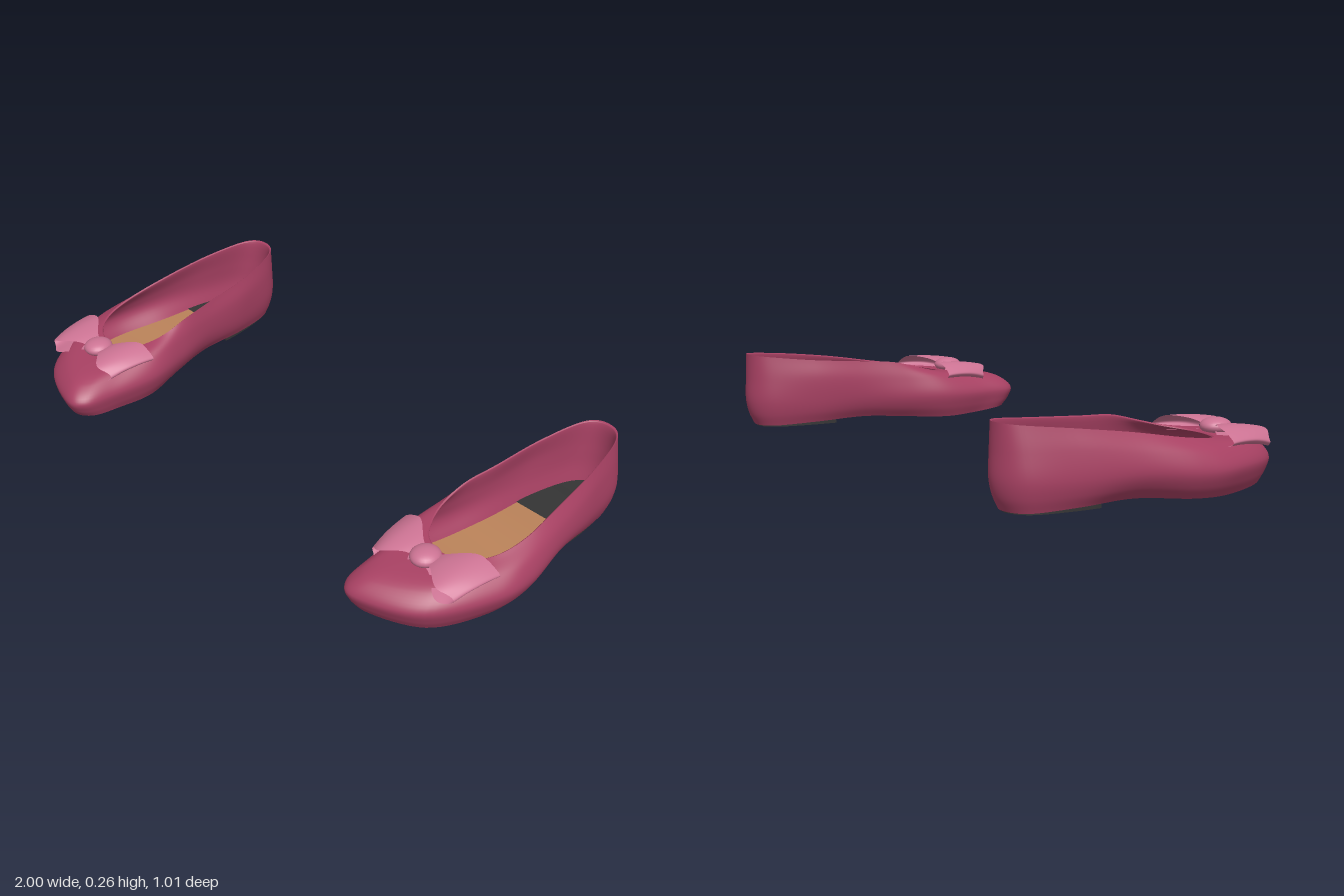
import * as THREE from 'three';

const mat = (name, color, side = THREE.FrontSide) => {
  const m = new THREE.MeshStandardMaterial({ color, side });
  m.name = name;
  return m;
};
const V = (x, y, z) => new THREE.Vector3(x, y, z);
const { smoothstep } = THREE.MathUtils;
const N = 120; // samples around the shoe

// Rings run heel -> outer side -> toe -> inner side
const soleRing = [
  [.80, .012, -.475], [.875, .012, -.43], [.905, .018, -.28], [.91, .022, -.1], [.955, .008, .08],
  [.945, .004, .22], [.87, .01, .39], [.71, .02, .475], [.638, .018, .445], [.625, .008, .33],
  [.62, .004, .2], [.66, .012, .05], [.69, .022, -.1], [.70, .018, -.28], [.735, .012, -.43]];
const widestRing = [
  [.80, .10, -.505], [.89, .10, -.45], [.935, .10, -.28], [.965, .10, -.1], [1.0, .09, .08],
  [.985, .09, .22], [.885, .085, .415], [.70, .085, .504], [.627, .085, .478], [.608, .085, .37],
  [.59, .09, .2], [.62, .09, .05], [.655, .10, -.1], [.675, .10, -.28], [.72, .10, -.45]];
const shoulderRing = [
  [.80, .18, -.503], [.88, .18, -.455], [.925, .18, -.29], [.955, .16, -.11], [.98, .145, .07],
  [.96, .14, .19], [.878, .137, .355], [.72, .131, .452], [.657, .131, .425], [.635, .138, .31],
  [.615, .15, .17], [.63, .155, .04], [.655, .165, -.1], [.675, .18, -.29], [.725, .18, -.455]];
const openingRing = [
  [.80, .262, -.50], [.865, .258, -.46], [.905, .24, -.3], [.925, .215, -.12], [.935, .187, .04],
  [.915, .17, .15], [.86, .16, .22], [.775, .158, .245], [.71, .162, .22], [.675, .172, .17],
  [.655, .19, .10], [.655, .215, 0], [.67, .225, -.12], [.69, .24, -.3], [.735, .258, -.46]];

function sampleRing(ring) {
  const curve = new THREE.CatmullRomCurve3(ring.map(p => V(...p)), true, 'catmullrom', 0.5);
  return Array.from({ length: N }, (_, i) => curve.getPoint(i / N));
}

// Surface through rows of points; closed joins each row's end to its start
function grid(rows, closed) {
  const n = rows[0].length, index = [];
  for (let j = 0; j < rows.length - 1; j++) {
    for (let i = 0; i < (closed ? n : n - 1); i++) {
      const k = (i + 1) % n;
      const a = j * n + i, b = a + n, c = j * n + k, d = c + n;
      index.push(a, b, c, c, b, d);
    }
  }
  const g = new THREE.BufferGeometry().setFromPoints(rows.flat());
  g.setIndex(index);
  g.computeVertexNormals();
  return g;
}

// Smooth wall passing through several rings
function wall(rings, steps) {
  const columns = rings[0].map((_, i) =>
    new THREE.CatmullRomCurve3(rings.map(r => r[i])).getPoints(steps));
  const rows = [];
  for (let j = 0; j <= steps; j++) rows.push(columns.map(c => c[j]));
  return grid(rows, true);
}

// Floor strip joining the outer and inner sides of a ring, up to zMax
function floor(ring, lift, zMax = Infinity) {
  const rows = [];
  for (let i = 0; i <= N / 2; i++) {
    const a = ring[i].clone(), b = ring[(N - i) % N].clone();
    if (Math.max(a.z, b.z) > zMax) break;
    a.y += lift;
    b.y += lift;
    rows.push([a, b]);
  }
  return grid(rows, false);
}

// One ribbon loop of the bow, flaring from the knot and sloping down to the toe
function bowLoop(dir, reach) {
  const path = new THREE.CatmullRomCurve3([
    [.1, .172], [.35, .188], [.65, .19], [.9, .173], [1, .157], [.9, .143], [.55, .147], [.1, .16],
  ].map(([u, y]) => V(u, y, 0)));
  const rows = path.getPoints(40).map(p => {
    const u = p.x, flare = .026 + .066 * smoothstep(u, .1, .7);
    const row = [];
    for (let k = 0; k <= 12; k++) {
      const s = k / 6 - 1;
      const half = flare * (s > 0 ? 1 - .22 * smoothstep(u, .7, 1) : 1);
      const dz = s * half;
      const x = u * reach * (1 - .07 * (s + 1) * u);
      row.push(V(.775 + dir * x, p.y - .008 * s * s * u - .1 * dz, .30 - .008 * u + dz));
    }
    return row;
  });
  return grid(rows, false);
}

export function createModel() {
  const leather = mat('rose leather', 0xa84163);
  const ribbon = mat('pink ribbon', 0xcc7393, THREE.DoubleSide);
  const tan = mat('tan sole', 0xba8259, THREE.DoubleSide);
  const black = mat('black heel', 0x343434, THREE.DoubleSide);

  const [sole, widest, shoulder, opening] =
    [soleRing, widestRing, shoulderRing, openingRing].map(sampleRing);
  const inset = (ring, f, drop) =>
    ring.map(p => V(.79 + (p.x - .79) * f, p.y - drop, p.z * (f + .015)));
  // Rounded turn between the sole and the widest ring
  const turn = sole.map((p, i) => {
    const q = p.clone().lerp(widest[i], .65);
    q.y = p.y + (widest[i].y - p.y) * .45;
    return q;
  });
  const insoleEdge = inset(sole.map((p, i) => p.clone().lerp(widest[i], .3)), .965, 0)
    .map((p, i) => V(p.x, sole[i].y + .024, p.z));

  // Heel pad outline, cut straight across the front
  const padPoints = sole.filter(p => p.z < -.2)
    .map(p => new THREE.Vector2(.8 + (p.x - .8) * .96, -Math.min(p.z * .985, -.205)));
  const padGeometry = new THREE.ExtrudeGeometry(new THREE.Shape(padPoints),
    { depth: .012, bevelEnabled: false });
  padGeometry.rotateX(-Math.PI / 2).translate(0, .007, 0);

  const knotGeometry = new THREE.SphereGeometry(1, 24, 16);
  knotGeometry.scale(.046, .026, .05).translate(.775, .171, .30);

  const parts = [
    ['upper', wall([sole, turn, widest, shoulder, opening], 28), leather],
    ['lining', wall([opening, inset(opening, .97, .004), inset(shoulder, .95, .012),
      inset(widest, .94, 0), insoleEdge], 24), leather],
    ['outsole', floor(sole, 0), tan],
    ['insole', floor(insoleEdge, 0), tan],
    ['heelInsole', floor(insoleEdge, .004, -.2), black],
    ['heelPad', padGeometry, black],
    ['outerBowLoop', bowLoop(1, .2), ribbon],
    ['innerBowLoop', bowLoop(-1, .178), ribbon],
    ['bowKnot', knotGeometry, ribbon],
  ];

  // Mirrored pair
  const model = new THREE.Group();
  model.name = 'balletFlats';
  for (const [name, side] of [['leftShoe', 1], ['rightShoe', -1]]) {
    const shoe = new THREE.Group();
    shoe.name = name;
    shoe.scale.x = side;
    for (const [part, geometry, material] of parts) {
      const mesh = new THREE.Mesh(geometry, material);
      mesh.name = part;
      shoe.add(mesh);
    }
    model.add(shoe);
  }
  return model;
}
